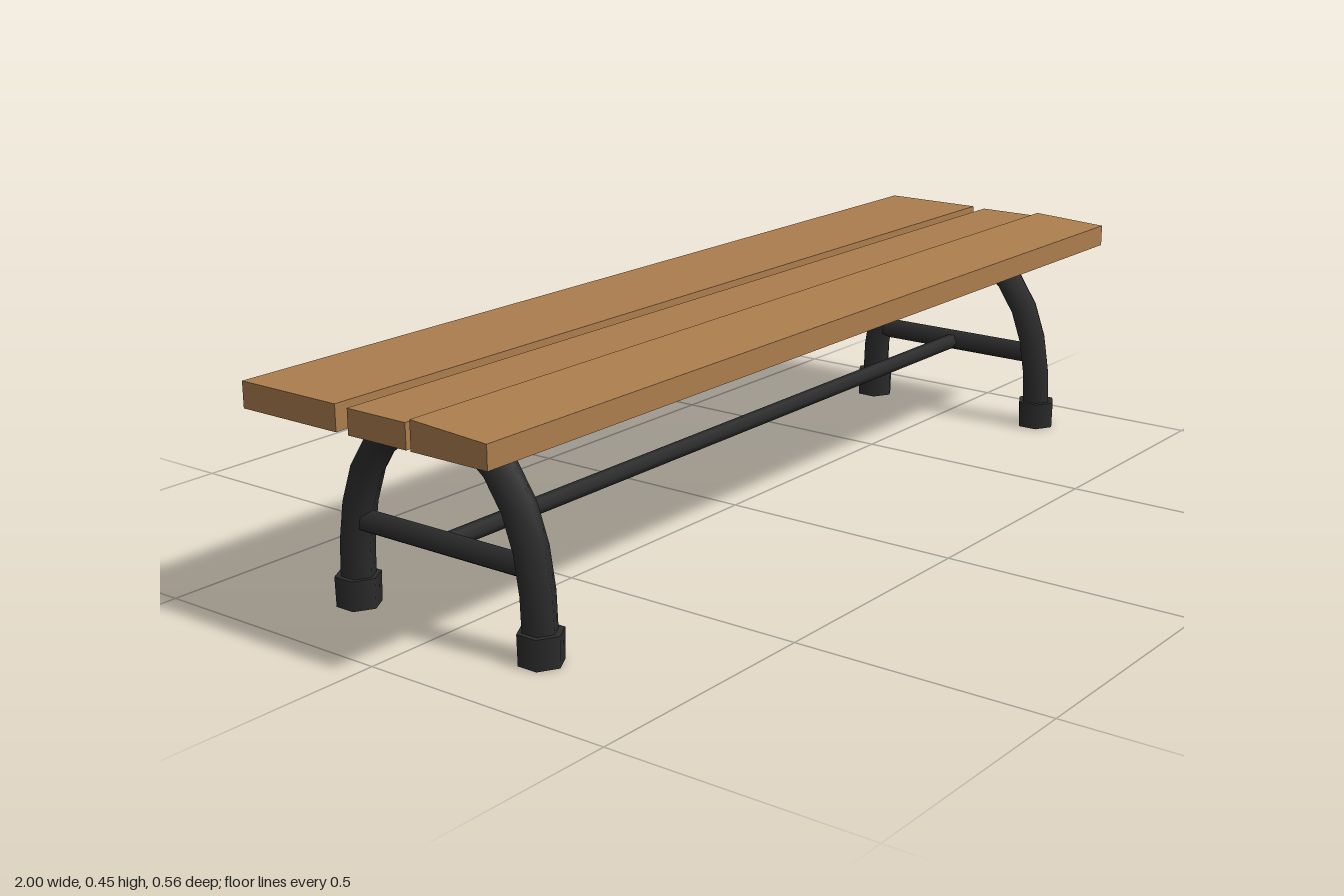
import * as THREE from 'three';

const wood = new THREE.MeshStandardMaterial({ color: 0xab7d4e });
wood.name = 'wood';
const metal = new THREE.MeshStandardMaterial({ color: 0x2b2b2b });
metal.name = 'blackMetal';

const CENTER_Z = -0.0035;
const BAR_Y = 0.163;

function add(parent, name, geometry, material, x = 0, y = 0, z = 0) {
  const mesh = new THREE.Mesh(geometry, material);
  mesh.name = name;
  mesh.position.set(x, y, z);
  parent.add(mesh);
  return mesh;
}

// Plank running along x; front and back top heights may differ,
// and the back edge may taper slightly towards +x.
function plankGeometry(zFront, zBack, topFront, topBack, taper = 0) {
  const geo = new THREE.BoxGeometry(2, 1, 1);
  const p = geo.attributes.position;
  for (let i = 0; i < p.count; i++) {
    const front = p.getZ(i) > 0;
    if (p.getY(i) > 0) p.setY(i, front ? topFront : topBack);
    else p.setY(i, 0.395);
    p.setZ(i, front ? zFront : zBack + (p.getX(i) > 0 ? taper : 0));
  }
  geo.computeVertexNormals();
  return geo;
}

// Six-sided tube swept along an arch in the zy plane
function archGeometry(radius) {
  const half = [[0.215, 0.03], [0.2145, 0.055], [0.212, 0.122], [0.2, 0.196],
    [0.176, 0.264], [0.136, 0.324], [0.081, 0.365]];
  const path = [...half, [0, 0.38], ...half.slice().reverse().map(([z, y]) => [-z, y])];
  const sides = 6, positions = [], index = [];
  path.forEach(([z, y], i) => {
    const a = path[Math.max(i - 1, 0)], b = path[Math.min(i + 1, path.length - 1)];
    const tangent = new THREE.Vector2(b[0] - a[0], b[1] - a[1]).normalize();
    for (let s = 0; s < sides; s++) {
      const t = (s / sides) * Math.PI * 2;
      const out = Math.cos(t) * radius;
      positions.push(Math.sin(t) * radius, y - tangent.x * out, z + tangent.y * out);
      if (i < path.length - 1) {
        const p = i * sides + s, q = i * sides + (s + 1) % sides;
        index.push(p, q, p + sides, q, q + sides, p + sides);
      }
    }
  });
  const geo = new THREE.BufferGeometry();
  geo.setAttribute('position', new THREE.Float32BufferAttribute(positions, 3));
  geo.setIndex(index);
  geo.computeVertexNormals();
  return geo;
}

export function createModel() {
  const bench = new THREE.Group();
  bench.name = 'bench';

  // Seat planks
  add(bench, 'frontPlank', plankGeometry(0.278, 0.114, 0.439, 0.448), wood);
  add(bench, 'middlePlank', plankGeometry(0.104, -0.027, 0.441, 0.441), wood);
  add(bench, 'backPlank', plankGeometry(-0.055, -0.278, 0.443, 0.443, 0.005), wood);

  // Arched leg frames with cross bar and foot sleeves
  for (const [name, x] of [['rightLegFrame', -0.819], ['leftLegFrame', 0.847]]) {
    const frame = new THREE.Group();
    frame.name = name;
    frame.position.set(x, 0, CENTER_Z);
    bench.add(frame);
    add(frame, 'legArch', archGeometry(0.032), metal);
    const cross = new THREE.CylinderGeometry(0.0225, 0.0225, 0.385, 6).rotateX(Math.PI / 2);
    add(frame, 'crossBar', cross, metal, 0, BAR_Y, 0);
    for (const side of [1, -1]) {
      const foot = new THREE.CylinderGeometry(0.0425, 0.0415, 0.057, 6);
      add(frame, side > 0 ? 'frontFoot' : 'backFoot', foot, metal, 0, 0.0285, side * 0.216);
    }
  }

  // Long stretcher joining the two frames
  const stretcher = new THREE.CylinderGeometry(0.016, 0.016, 1.666, 6).rotateZ(Math.PI / 2);
  add(bench, 'stretcherBar', stretcher, metal, 0.014, BAR_Y, CENTER_Z);

  return bench;
}
